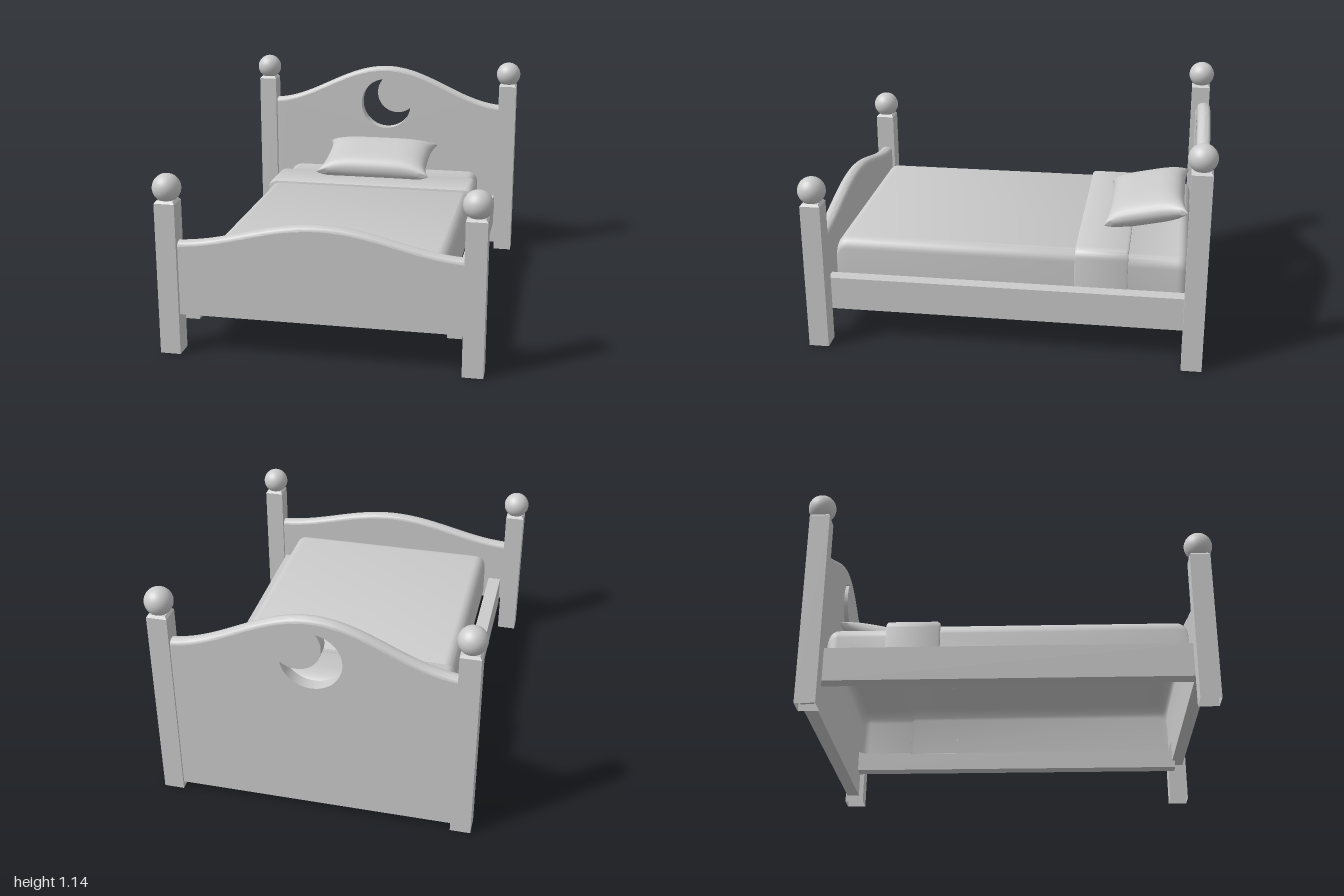
import * as THREE from 'three';
import { toCreasedNormals } from 'three/addons/utils/BufferGeometryUtils.js';

const material = new THREE.MeshStandardMaterial({ color: 0xcccccc, side: THREE.DoubleSide });
const HALF = 0.72; // half wavelength of the wavy board tops

// Joins a list of rings (arrays of [x, y, z]) into a skin
function loft(rings, crease = 0.7) {
  const n = rings[0].length;
  const index = [];
  for (let i = 0; i < rings.length - 1; i++) {
    for (let j = 0; j < n - 1; j++) {
      const a = i * n + j, d = a + n;
      index.push(a, a + 1, d + 1, a, d + 1, d);
    }
  }
  const geometry = new THREE.BufferGeometry();
  geometry.setAttribute('position', new THREE.Float32BufferAttribute(rings.flat(2), 3));
  geometry.setIndex(index);
  return toCreasedNormals(geometry, crease);
}

function add(parent, name, geometry, x = 0, y = 0, z = 0) {
  const mesh = new THREE.Mesh(geometry, material);
  mesh.name = name;
  mesh.position.set(x, y, z);
  parent.add(mesh);
  return mesh;
}

// Square post, open underneath, with a small chamfer at the top
function postGeometry(height) {
  const levels = [[0, 0.05], [height - 0.012, 0.05], [height, 0.04], [height, 0]];
  return loft(levels.map(([y, s]) =>
    [[s, y, s], [s, y, -s], [-s, y, -s], [-s, y, s], [s, y, s]]), 0.4);
}

// Wavy-topped board: flat panel (with optional hole) and a rounded top edge
function board(name, bottom, low, high, thick, hole) {
  const group = new THREE.Group();
  group.name = name;
  const lip = 0.025, end = 0.7, steps = 48;
  const top = x => low + (high - low) * (0.5 + 0.5 * Math.cos(Math.PI * x / HALF));
  const xs = Array.from({ length: steps + 1 }, (_, i) => -end + 2 * end * i / steps);

  const shape = new THREE.Shape();
  shape.moveTo(-end, bottom);
  shape.lineTo(end, bottom);
  for (const x of [...xs].reverse()) shape.lineTo(x, top(x) - lip);
  shape.closePath();
  if (hole) shape.holes.push(hole);
  const panel = new THREE.ExtrudeGeometry(shape, { depth: thick, bevelEnabled: false, curveSegments: 28 });
  panel.translate(0, 0, -thick / 2);
  add(group, name + 'Panel', toCreasedNormals(panel, 0.6));

  add(group, name + 'TopEdge', loft(xs.map(x => {
    const ring = [];
    for (let k = 0; k <= 10; k++) {
      const a = Math.PI * k / 10;
      ring.push([x, top(x) - lip + lip * Math.sin(a), -Math.cos(a) * thick / 2]);
    }
    return ring;
  })));
  return group;
}

// Crescent cut-out
function moonPath() {
  const rad = THREE.MathUtils.degToRad;
  const path = new THREE.Path();
  path.absarc(0, 0.875, 0.15, rad(97.6), rad(352.4), false);
  path.absarc(0.07, 0.945, 0.12, rad(-48.4), rad(-221.6), true);
  return path;
}

// Arch-shaped cross-section with rounded shoulders
function arch(z, halfWidth, base, top, radius) {
  const r = Math.min(radius, top - base);
  const ring = [[halfWidth, base, z]];
  for (const side of [1, -1]) {
    for (let k = 0; k <= 6; k++) {
      const a = (side > 0 ? k : 6 - k) * Math.PI / 12;
      ring.push([side * (halfWidth - r + r * Math.cos(a)), top - r + r * Math.sin(a), z]);
    }
  }
  ring.push([-halfWidth, base, z]);
  return ring;
}

// Mattress: open underneath, rounded at head and foot
function mattressGeometry() {
  const base = 0.25, r = 0.055, rings = [];
  const zHead = -0.895, zFoot = 0.875;
  rings.push(arch(zHead, 0.53, base, base, r));
  for (let k = 0; k <= 6; k++) {
    const a = k * Math.PI / 12, s = 1 - Math.cos(a);
    rings.push(arch(zHead + r * s, 0.53 + 0.04 * Math.sin(a), base, 0.49 - r + r * Math.sin(a), r));
  }
  rings.push(arch(-0.6, 0.57, base, 0.49, r), arch(-0.58, 0.575, base, 0.505, r));
  for (let k = 0; k <= 6; k++) {
    const a = k * Math.PI / 12;
    rings.push(arch(zFoot - r + r * Math.sin(a), 0.575, base, 0.505 - r + r * Math.cos(a), r));
  }
  rings.push(arch(zFoot, 0.575, base, base, r));
  return loft(rings);
}

// Folded blanket band lying over the mattress
function foldGeometry() {
  const stations = [[-0.6, 0.568, 0.49], [-0.6, 0.585, 0.515], [-0.59, 0.589, 0.522],
    [-0.35, 0.589, 0.522], [-0.338, 0.585, 0.516], [-0.335, 0.573, 0.503]];
  return loft(stations.map(([z, w, top]) => arch(z, w, 0.25, top, 0.045)));
}

// Puffed cushion with drawn-out corners
function pillowGeometry() {
  const n = 24, rings = [];
  for (let i = 0; i <= n; i++) {
    const ring = [];
    const v = -Math.cos(Math.PI * i / n);
    for (let j = 0; j <= 2 * n; j++) {
      const u = Math.cos(Math.PI * j / n);
      const side = j <= n ? 1 : -1;
      const puff = Math.sqrt(Math.max(0, (1 - u ** 4) * (1 - v ** 4)));
      ring.push([
        0.33 * u * (1 - 0.1 * (1 - v ** 4)),
        side * 0.082 * puff,
        0.215 * v * (1 - 0.1 * (1 - u ** 4)),
      ]);
    }
    rings.push(ring);
  }
  return loft(rings, 1.3);
}

export function createModel() {
  const model = new THREE.Group();
  model.name = 'bed';

  // Four posts with ball finials, and the two side rails
  for (const [side, sx] of [['left', 1], ['right', -1]]) {
    for (const [end, sz, height] of [['Front', 1, 0.765], ['Back', -1, 1.02]]) {
      const x = 0.73 * sx, z = 0.93 * sz;
      add(model, side + end + 'Post', postGeometry(height), x, 0, z);
      add(model, side + end + 'Ball', new THREE.SphereGeometry(0.069, 28, 18), x, height + 0.056, z);
    }
    add(model, side + 'Rail', new THREE.BoxGeometry(0.07, 0.17, 1.82), 0.635 * sx, 0.245, 0);
  }

  // Headboard and footboard
  const headboard = board('headboard', 0.035, 0.885, 1.1, 0.065, moonPath());
  headboard.position.z = -0.937;
  const footboard = board('footboard', 0.2, 0.565, 0.68, 0.065);
  footboard.position.z = 0.928;
  model.add(headboard, footboard);

  // Bedding
  add(model, 'mattress', mattressGeometry());
  add(model, 'blanketFold', foldGeometry());
  const pillow = add(model, 'pillow', pillowGeometry(), -0.007, 0.592, -0.672);
  pillow.rotation.x = 0.21;

  return model;
}
